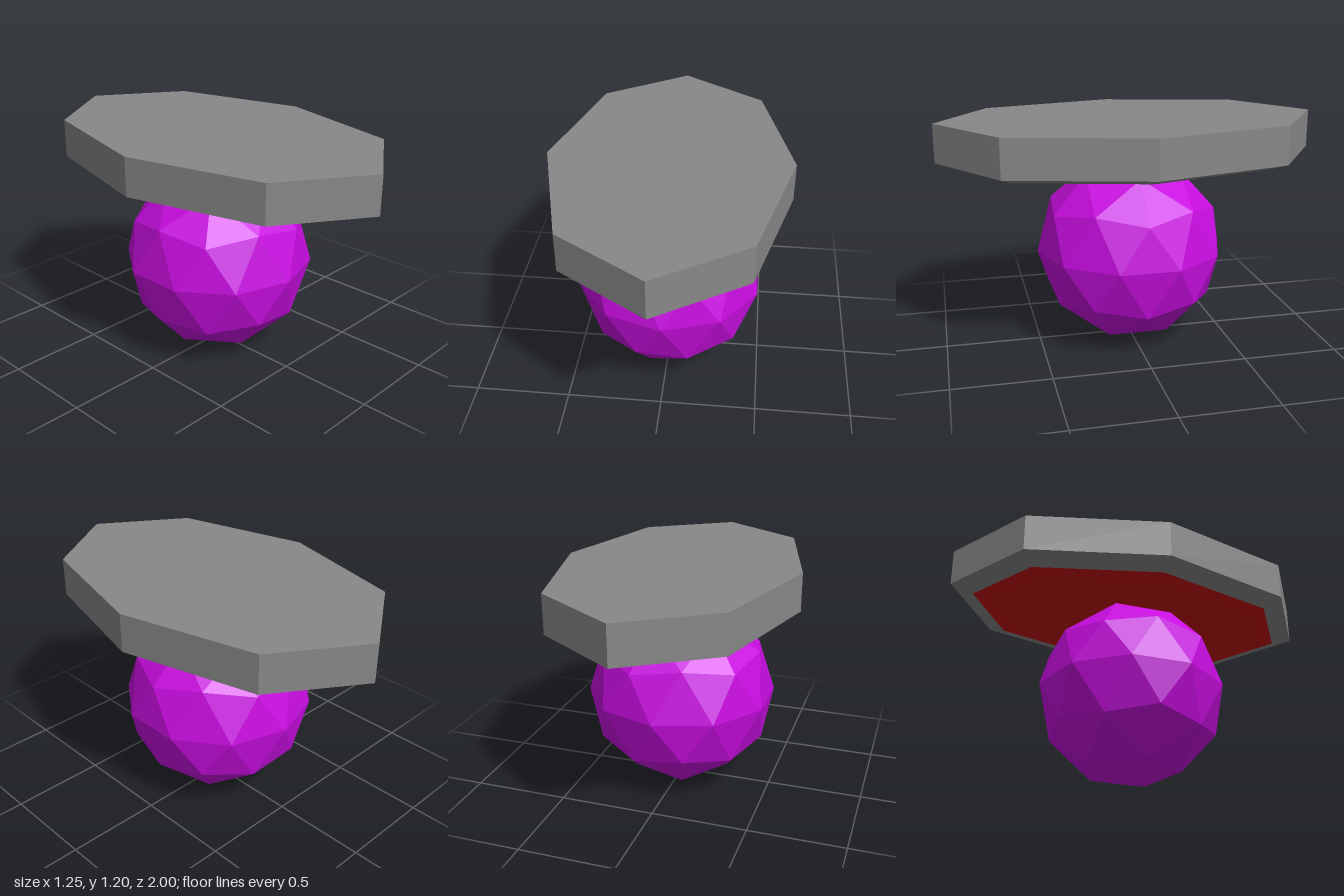
import * as THREE from 'three';

const SIDES = 8, HALF_WIDTH = 0.625, HALF_LENGTH = 1;

// Stretched octagon at height y, with every edge moved inwards by inset
function ring(y, inset = 0) {
  const corners = [];
  for (let i = 0; i < SIDES; i++) {
    const a = (i / SIDES) * Math.PI * 2;
    corners.push(new THREE.Vector2(HALF_WIDTH * Math.sin(a), HALF_LENGTH * Math.cos(a)));
  }
  const normal = (p, q) => new THREE.Vector2(p.y - q.y, q.x - p.x).normalize();
  return corners.map((p, i) => {
    const n1 = normal(corners[(i + SIDES - 1) % SIDES], p);
    const n2 = normal(p, corners[(i + 1) % SIDES]);
    const shift = n1.clone().add(n2).multiplyScalar(inset / (1 + n1.dot(n2)));
    return new THREE.Vector3(p.x - shift.x, y, p.y - shift.y);
  });
}

// Joins rings, listed from the top down, with flat bands and optional end caps
function loft(rings, capTop, capBottom) {
  const points = [];
  const n = SIDES;
  for (let r = 0; r + 1 < rings.length; r++) {
    const up = rings[r], low = rings[r + 1];
    for (let i = 0; i < n; i++) {
      const j = (i + 1) % n;
      points.push(low[i], low[j], up[j], low[i], up[j], up[i]);
    }
  }
  const top = rings[0], bottom = rings[rings.length - 1];
  for (let i = 1; i < n - 1; i++) {
    if (capTop) points.push(top[0], top[i], top[i + 1]);
    if (capBottom) points.push(bottom[0], bottom[i + 1], bottom[i]);
  }
  const geometry = new THREE.BufferGeometry().setFromPoints(points);
  geometry.computeVertexNormals();
  return geometry;
}

function part(name, geometry, color) {
  const material = new THREE.MeshStandardMaterial({ color, flatShading: true });
  const mesh = new THREE.Mesh(geometry, material);
  mesh.name = name;
  return mesh;
}

export function createModel() {
  const model = new THREE.Group();
  model.name = 'ballWithSlab';

  // Faceted ball, turned so that one corner points straight down
  const goldenRatio = (1 + Math.sqrt(5)) / 2;
  const ball = new THREE.IcosahedronGeometry(0.5, 1);
  ball.rotateZ(-Math.atan(1 / goldenRatio));
  ball.translate(0, 0.5, 0);
  model.add(part('ball', ball, 0xc80de0));

  // Grey octagonal slab with a bevelled lower edge
  const rim = ring(0.963, 0.1);
  model.add(part('slab', loft([ring(1.2), ring(1), rim], true, false), 0x888888));

  // Red underside with a shallow sloping border
  model.add(part('underside', loft([rim, ring(0.95, 0.158)], false, true), 0xc81010));

  return model;
}
